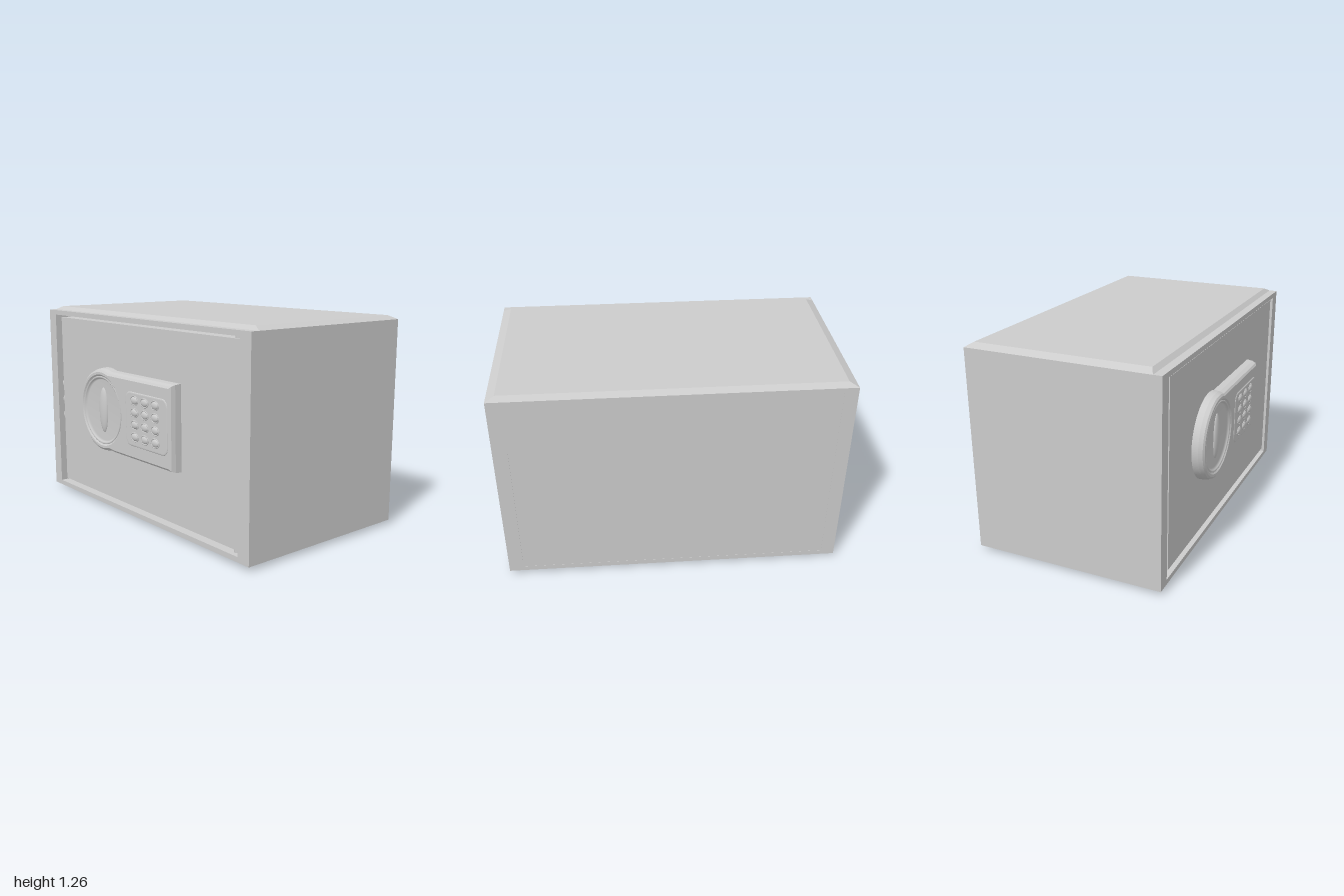
import * as THREE from 'three';

const material = new THREE.MeshStandardMaterial({ color: 0xcccccc });

function add(parent, name, geometry, x = 0, y = 0, z = 0) {
  const mesh = new THREE.Mesh(geometry, material);
  mesh.name = name;
  mesh.position.set(x, y, z);
  parent.add(mesh);
  return mesh;
}

// Axis-aligned box given by its limits
function addBox(parent, name, [x0, x1], [y0, y1], [z0, z1]) {
  return add(parent, name, new THREE.BoxGeometry(x1 - x0, y1 - y0, z1 - z0),
    (x0 + x1) / 2, (y0 + y1) / 2, (z0 + z1) / 2);
}

function rectangle(Type, x0, x1, y0, y1) {
  return new Type([[x0, y0], [x1, y0], [x1, y1], [x0, y1]].map(p => new THREE.Vector2(...p)));
}

function roundedRectangle(x0, x1, y0, y1, r) {
  const s = new THREE.Shape();
  s.absarc(x1 - r, y1 - r, r, 0, Math.PI / 2);
  s.absarc(x0 + r, y1 - r, r, Math.PI / 2, Math.PI);
  s.absarc(x0 + r, y0 + r, r, Math.PI, Math.PI * 1.5);
  s.absarc(x1 - r, y0 + r, r, Math.PI * 1.5, Math.PI * 2);
  s.closePath();
  return s;
}

// Shallow slab whose outer face is drawn in on all sides
function capGeometry(yInner, yOuter) {
  const geometry = new THREE.BoxGeometry(2, 1, 1);
  const p = geometry.attributes.position;
  const up = yOuter > yInner;
  for (let i = 0; i < p.count; i++) {
    const outer = (p.getY(i) > 0) === up;
    const front = p.getZ(i) > 0;
    p.setXYZ(i, Math.sign(p.getX(i)) * (outer ? 0.95 : 1), outer ? yOuter : yInner,
      front ? (outer ? 0.465 : 0.49) : (outer ? -0.575 : -0.61));
  }
  geometry.computeVertexNormals();
  return geometry;
}

export function createModel() {
  const model = new THREE.Group();
  model.name = 'safe';

  // Hollow cabinet: walls, back and chamfered top and bottom
  const cabinet = new THREE.Group();
  cabinet.name = 'cabinet';
  model.add(cabinet);
  const wall = rectangle(THREE.Shape, -1, 1, 0.025, 1.235);
  wall.holes.push(rectangle(THREE.Path, -0.92, 0.915, 0.055, 1.205));
  add(cabinet, 'walls', new THREE.ExtrudeGeometry(wall, { depth: 1.15, bevelEnabled: false }), 0, 0, -0.61);
  addBox(cabinet, 'backWall', [-0.95, 0.95], [0.04, 1.22], [-0.609, -0.57]);
  add(cabinet, 'topCap', capGeometry(1.235, 1.257));
  add(cabinet, 'bottomCap', capGeometry(0.025, 0));

  // Door with pivot pins and locking bolts
  const door = new THREE.Group();
  door.name = 'door';
  model.add(door);
  addBox(door, 'doorSlab', [-0.87, 0.908], [0.08, 1.19], [0.44, 0.525]);
  for (const y of [0.068, 1.197])
    add(door, 'pivotPin', new THREE.CylinderGeometry(0.02, 0.02, 0.03, 20), 0.86, y, 0.49);
  for (const y of [0.52, 0.628, 0.735])
    add(door, 'lockingBolt', new THREE.CylinderGeometry(0.042, 0.042, 0.12, 32), -0.857, y, 0.465)
      .rotation.z = Math.PI / 2;

  // Lock housing: rounded on the dial side, square on the keypad side
  const lock = new THREE.Group();
  lock.name = 'lock';
  model.add(lock);
  const dialX = -0.29, dialY = 0.655;
  const outline = new THREE.Shape();
  outline.moveTo(0.4, 0.425);
  outline.lineTo(0.4, 0.88);
  outline.lineTo(-0.15, 0.88);
  outline.absarc(dialX, dialY, 0.237, 1.25, Math.PI * 2 - 1.25);
  outline.lineTo(-0.15, 0.425);
  outline.closePath();
  const well = new THREE.Path();
  well.absarc(dialX, dialY, 0.222, 0, Math.PI * 2, true);
  outline.holes.push(well);
  add(lock, 'housing', new THREE.ExtrudeGeometry(outline, {
    depth: 0.02, bevelThickness: 0.065, bevelSize: 0.024, bevelSegments: 3, curveSegments: 48,
  }), 0, 0, 0.51);

  // Dial sunk in the housing, with an oval grip
  const disc = add(lock, 'dial', new THREE.LatheGeometry(
    [[0.215, 0], [0.215, 0.065], [0.207, 0.07], [0.199, 0.065], [0.19, 0.053], [0, 0.053]]
      .map(p => new THREE.Vector2(...p)), 64), dialX, dialY, 0.522);
  disc.rotation.x = Math.PI / 2;
  add(lock, 'dialGrip', new THREE.SphereGeometry(1, 32, 24), dialX, dialY, 0.572)
    .scale.set(0.045, 0.142, 0.022);

  // Keypad with twelve oval keys
  add(lock, 'keypad', new THREE.ExtrudeGeometry(roundedRectangle(-0.008, 0.383, 0.502, 0.808, 0.04), {
    depth: 0.01, bevelThickness: 0.006, bevelSize: 0.01, bevelSegments: 3,
  }), 0, 0, 0.583);
  for (let row = 0; row < 4; row++) {
    for (let column = 0; column < 3; column++) {
      const x = 0.075 + column * 0.101, y = 0.551 + row * 0.0725;
      add(lock, 'key', new THREE.SphereGeometry(1, 20, 12), x, y, 0.598).scale.set(0.033, 0.022, 0.011);
      add(lock, 'keyRim', new THREE.TorusGeometry(1, 0.12, 8, 28), x, y, 0.599).scale.set(0.037, 0.026, 0.03);
    }
  }

  return model;
}
